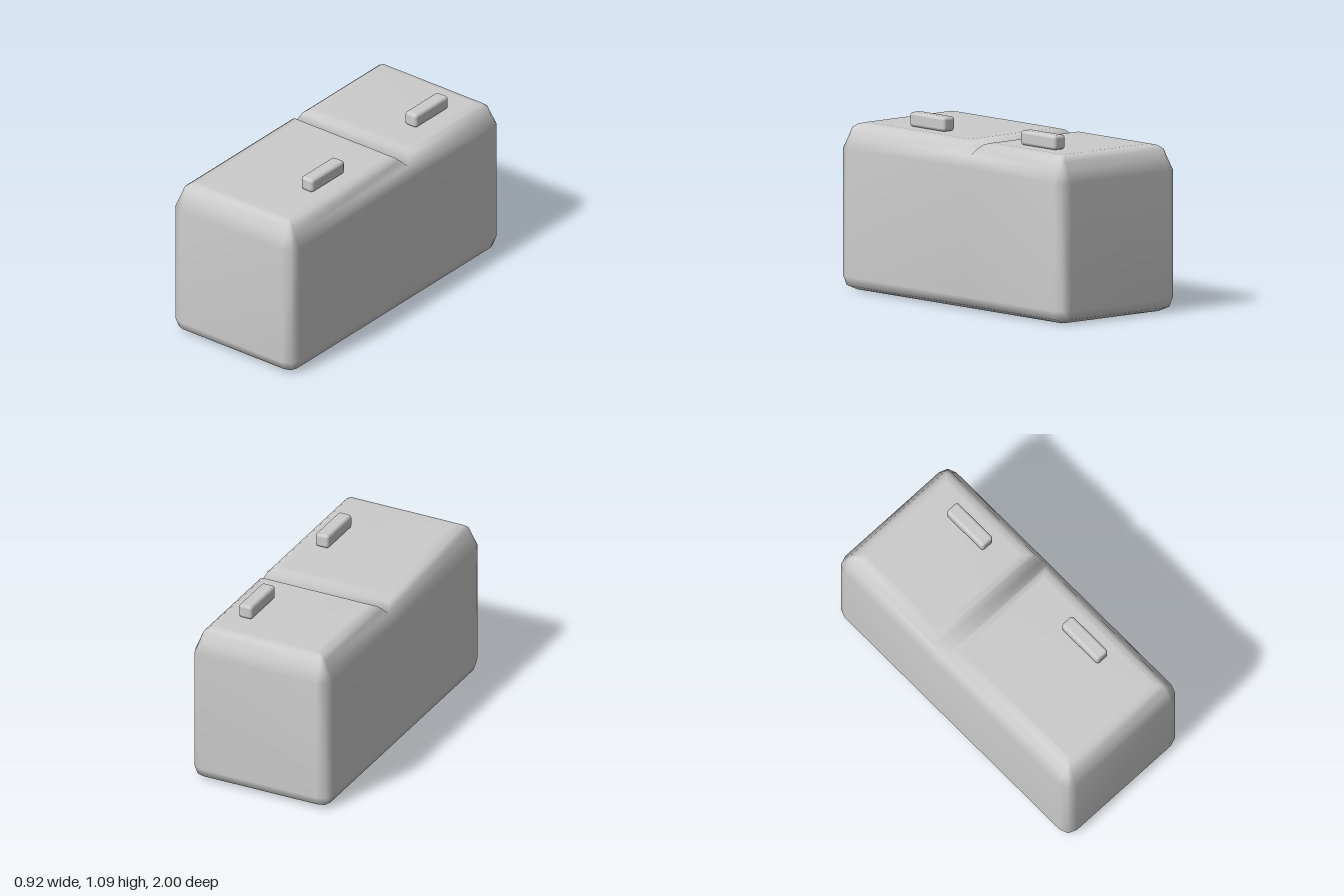
import * as THREE from 'three';
import { mergeGeometries, mergeVertices } from 'three/addons/utils/BufferGeometryUtils.js';
import { RoundedBoxGeometry } from 'three/addons/geometries/RoundedBoxGeometry.js';

const HALF_WIDTH = 0.46;
const GROOVE_Z = -0.147;
const GROOVE_Y = 0.925;

// Each ring: height, inset of the outer edges, inset of the groove edge
const RINGS = [
  [0, 0.075, 0], [0.025, 0.02, 0], [0.08, 0, 0], [0.85, 0, 0],
  [GROOVE_Y, 0.033, 0], [0.973, 0.052, 0.045], [0.995, 0.08, 0.065], [1.005, 0.12, 0.1],
];

// One half of the cabinet, lofted upwards from the groove plane to z = dir
function halfCabinet(dir) {
  const positions = [];
  const indices = [];
  const tri = (a, b, c) => (dir > 0 ? indices.push(a, b, c) : indices.push(a, c, b));

  for (const [y, inset, grooveInset] of RINGS) {
    const w = HALF_WIDTH - inset;
    const near = GROOVE_Z + dir * grooveInset;
    const far = dir * (1 - inset);
    const r = Math.max(0.012, 0.075 - inset);
    const half = [[w, near], [w, far - dir * r], [w - r * 0.27, far - dir * r * 0.27], [w - r, far]];
    for (const [x, z] of half) positions.push(-x, y, z);
    for (const [x, z] of half.reverse()) positions.push(x, y, z);
  }

  const n = 8;
  for (let i = 0; i < RINGS.length - 1; i++) {
    for (let j = 0; j < n; j++) {
      // Below the groove the two halves are joined, so no wall there
      if (j === n - 1 && RINGS[i + 1][0] <= GROOVE_Y) continue;
      const k = (j + 1) % n;
      const a = i * n + j, b = i * n + k;
      tri(a, b, b + n);
      tri(a, b + n, a + n);
    }
  }
  // Bottom and top caps
  const top = (RINGS.length - 1) * n;
  for (let j = 1; j < n - 1; j++) {
    tri(0, j + 1, j);
    tri(top, top + j, top + j + 1);
  }

  const geometry = new THREE.BufferGeometry();
  geometry.setAttribute('position', new THREE.Float32BufferAttribute(positions, 3));
  geometry.setIndex(indices);
  return geometry;
}

export function createModel() {
  const group = new THREE.Group();
  const material = new THREE.MeshStandardMaterial({ color: 0xcccccc });

  // Cabinet with two doors, welded across the groove for smooth shading
  const body = mergeVertices(mergeGeometries([halfCabinet(1), halfCabinet(-1)]));
  body.computeVertexNormals();
  const cabinet = new THREE.Mesh(body, material);
  cabinet.name = 'cabinet';
  group.add(cabinet);

  // One handle on each door
  const handleGeometry = new RoundedBoxGeometry(0.09, 0.088, 0.314, 2, 0.02);
  for (const [name, z] of [['largeDoorHandle', 0.418], ['smallDoorHandle', -0.573]]) {
    const handle = new THREE.Mesh(handleGeometry, material);
    handle.name = name;
    handle.position.set(0.232, 1.049, z);
    group.add(handle);
  }
  return group;
}
